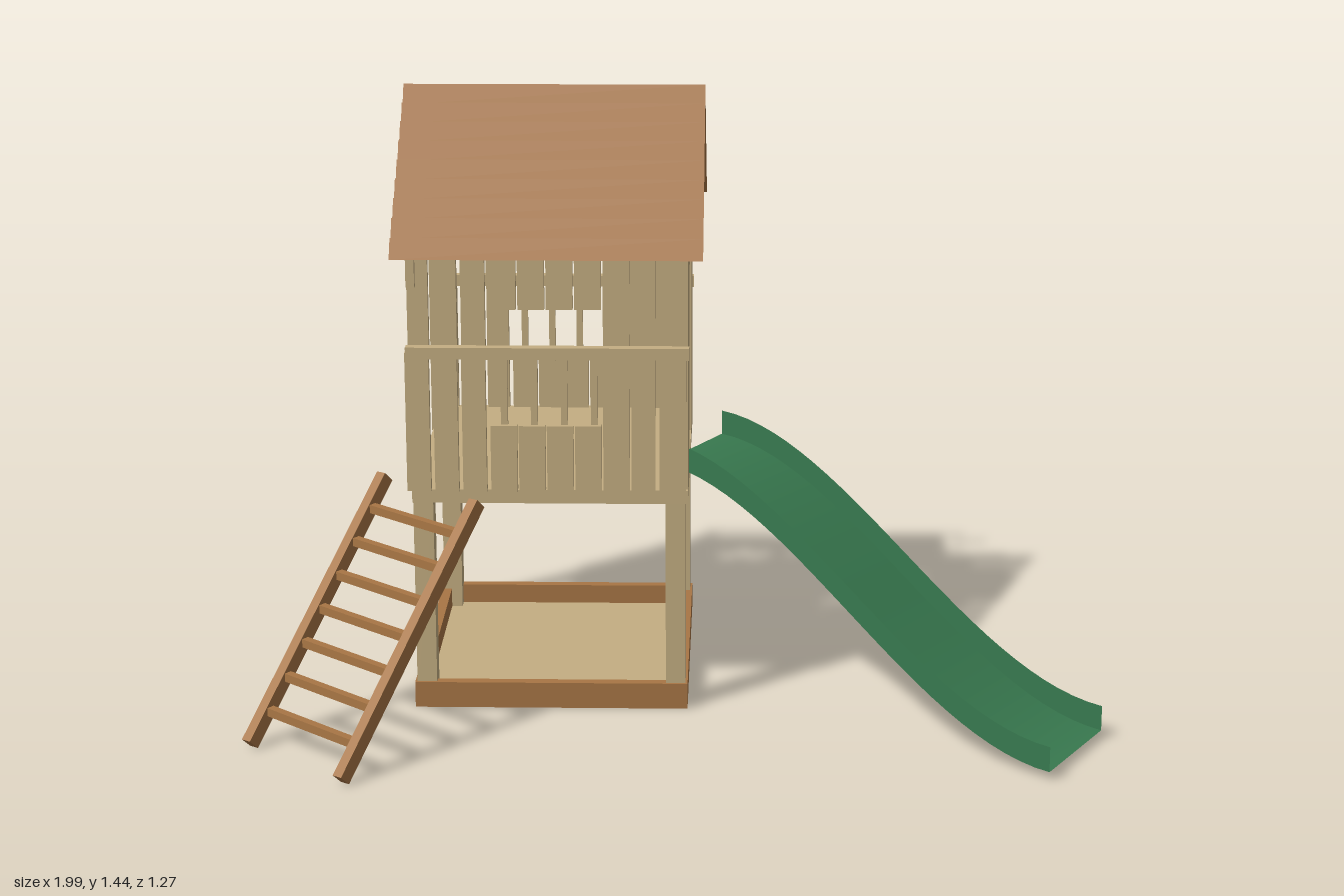
import * as THREE from 'three';

const flat = (name, color) => {
  const m = new THREE.MeshStandardMaterial({ color, side: THREE.DoubleSide });
  m.name = name;
  return m;
};

export function createModel() {
  const pale = flat('pale timber', 0xc4ae82);
  const brown = flat('brown timber', 0xa87645);
  const green = flat('green plastic', 0x38794f);
  const model = new THREE.Group();
  model.name = 'playhouse';

  const group = (name) => {
    const g = new THREE.Group();
    g.name = name;
    model.add(g);
    return g;
  };
  // box given by its minimum and maximum on each axis
  const box = (parent, name, mat, x0, x1, y0, y1, z0, z1) => {
    const m = new THREE.Mesh(new THREE.BoxGeometry(x1 - x0, y1 - y0, z1 - z0), mat);
    m.position.set((x0 + x1) / 2, (y0 + y1) / 2, (z0 + z1) / 2);
    m.name = name;
    parent.add(m);
    return m;
  };
  // straight bar between two points
  const bar = (parent, name, mat, a, b, w, h) => {
    const m = new THREE.Mesh(new THREE.BoxGeometry(w, h, a.distanceTo(b)), mat);
    m.position.copy(a).lerp(b, 0.5);
    m.lookAt(b);
    m.name = name;
    parent.add(m);
  };

  const L = -0.62, R = 0.03, F = 0.128, B = -0.612, MID = (F + B) / 2;

  // sandbox
  const sandbox = group('sandbox');
  box(sandbox, 'sandboxFront', brown, L, R, 0, 0.063, F - 0.025, F);
  box(sandbox, 'sandboxBack', brown, L, R, 0, 0.063, B, B + 0.025);
  box(sandbox, 'sandboxLeft', brown, R - 0.025, R, 0, 0.063, B + 0.025, F - 0.025);
  box(sandbox, 'sandboxRight', brown, L, L + 0.025, 0, 0.063, B + 0.025, F - 0.025);
  box(sandbox, 'sandFloor', pale, L + 0.02, R - 0.02, 0.003, 0.015, B + 0.02, F - 0.02);

  // posts and platform
  const frame = group('frame');
  for (const x of [-0.615, -0.022])
    for (const z of [0.07, -0.605])
      box(frame, 'post', pale, x, x + 0.047, 0.015, 0.515, z, z + 0.052);
  box(frame, 'platform', pale, L + 0.003, R, 0.51, 0.543, B, F - 0.005);

  // end walls with doorways
  const doorway = new THREE.Shape([
    [-0.112, 0.54], [-0.095, 0.54], [-0.095, 1.03], [-0.39, 1.03], [-0.39, 0.54],
    [-0.595, 0.54], [-0.595, 1.03], [-0.615, 1.03], [-0.615, 1.102],
    [0.13, 1.102], [0.13, 1.03], [0.112, 1.03], [0.112, 0.54], [-0.095, 0.54],
  ].slice(1).map(([z, y]) => new THREE.Vector2(-z, y)));
  const endWalls = group('endWalls');
  for (const x of [L, R - 0.02]) {
    const g = new THREE.ExtrudeGeometry(doorway, { depth: 0.02, bevelEnabled: false });
    const m = new THREE.Mesh(g.rotateY(Math.PI / 2), pale);
    m.position.x = x;
    m.name = 'doorwayWall';
    endWalls.add(m);
  }

  // plank walls with a window and balusters, front and back
  const pitch = 0.0657, wideGaps = [0, 1, 2, 8];
  for (const s of [1, -1]) {
    const wall = group(s > 0 ? 'frontWall' : 'backWall');
    const plank = (name, x0, x1, y0, y1, near, far) => {
      const a = MID + s * near, b = MID + s * far;
      box(wall, name, pale, x0, x1, y0, y1, Math.min(a, b), Math.max(a, b));
    };
    for (let i = 0; i < 10; i++) {
      const x0 = -0.627 + i * pitch;
      const x1 = x0 + pitch - (wideGaps.includes(i) ? 0.01 : 0.004);
      const atWindow = i >= 3 && i <= 6;
      plank('lowerPlank', x0, x1, 0.54, atWindow ? 0.7 : 0.875, 0.353, 0.372);
      plank('upperPlank', Math.max(x0, L), Math.min(x1, R), atWindow ? 0.975 : 0.87, 1.1, 0.338, 0.356);
    }
    plank('windowRail', L - 0.004, R + 0.003, 0.862, 0.89, 0.356, 0.382);
    for (let i = 0; i < 4; i++) {
      const x = -0.398 + i * 0.07;
      plank('baluster', x - 0.008, x + 0.008, 0.67, 0.87, 0.345, 0.36);
    }
  }

  // thin overlapping roof slats on both slopes
  const roof = group('roof');
  const slatZ = 0.03, slatY = 0.045;
  for (const s of [1, -1])
    for (let i = 0; i < 9; i++) {
      const g = new THREE.PlaneGeometry(0.72, Math.hypot(slatZ, slatY));
      const m = new THREE.Mesh(g.rotateX(-Math.atan2(slatZ, slatY)), brown);
      if (s < 0) m.rotation.y = Math.PI;
      m.position.set(-0.295, 1.44 - slatY / 2 - i * 0.0369, -0.245 + s * (slatZ / 2 + i * 0.0456));
      m.name = 'roofSlat';
      roof.add(m);
    }

  // ladder leaning on the corner
  const ladder = group('ladder');
  const foot = new THREE.Vector3(-0.975, 0.012, 0.4);
  const head = new THREE.Vector3(-0.695, 0.538, 0);
  const across = new THREE.Vector3(0.237, 0, 0.21);
  bar(ladder, 'ladderRail', brown, foot, head, 0.025, 0.035);
  bar(ladder, 'ladderRail', brown, foot.clone().add(across), head.clone().add(across), 0.025, 0.035);
  for (let i = 0; i < 7; i++) {
    const y = 0.077 + i * 0.0663;
    const p = foot.clone().lerp(head, (y - foot.y) / (head.y - foot.y));
    bar(ladder, 'rung', brown, p, p.clone().add(across), 0.02, 0.02);
  }

  // slide: S-curved bed with upright sides
  const slide = group('slide');
  const steps = 28;
  const edgePoint = (t, side, lift) => [
    0.107 + 0.888 * t - 0.145 * side,
    0.54 - 0.52 * t * t * (3 - 2 * t) + lift,
    -0.37 + 0.667 * t + 0.256 * side,
  ];
  const strip = (name, a, b) => {
    const pos = [], idx = [];
    for (let i = 0; i <= steps; i++) {
      pos.push(...edgePoint(i / steps, ...a), ...edgePoint(i / steps, ...b));
      if (i < steps) {
        const k = i * 2;
        idx.push(k, k + 1, k + 2, k + 1, k + 3, k + 2);
      }
    }
    const g = new THREE.BufferGeometry();
    g.setAttribute('position', new THREE.Float32BufferAttribute(pos, 3));
    g.setIndex(idx);
    g.computeVertexNormals();
    const m = new THREE.Mesh(g, green);
    m.name = name;
    slide.add(m);
  };
  strip('slideBed', [0, 0], [1, 0]);
  strip('slideBackSide', [0, 0.06], [0, 0]);
  strip('slideFrontSide', [1, 0], [1, 0.06]);

  return model;
}
